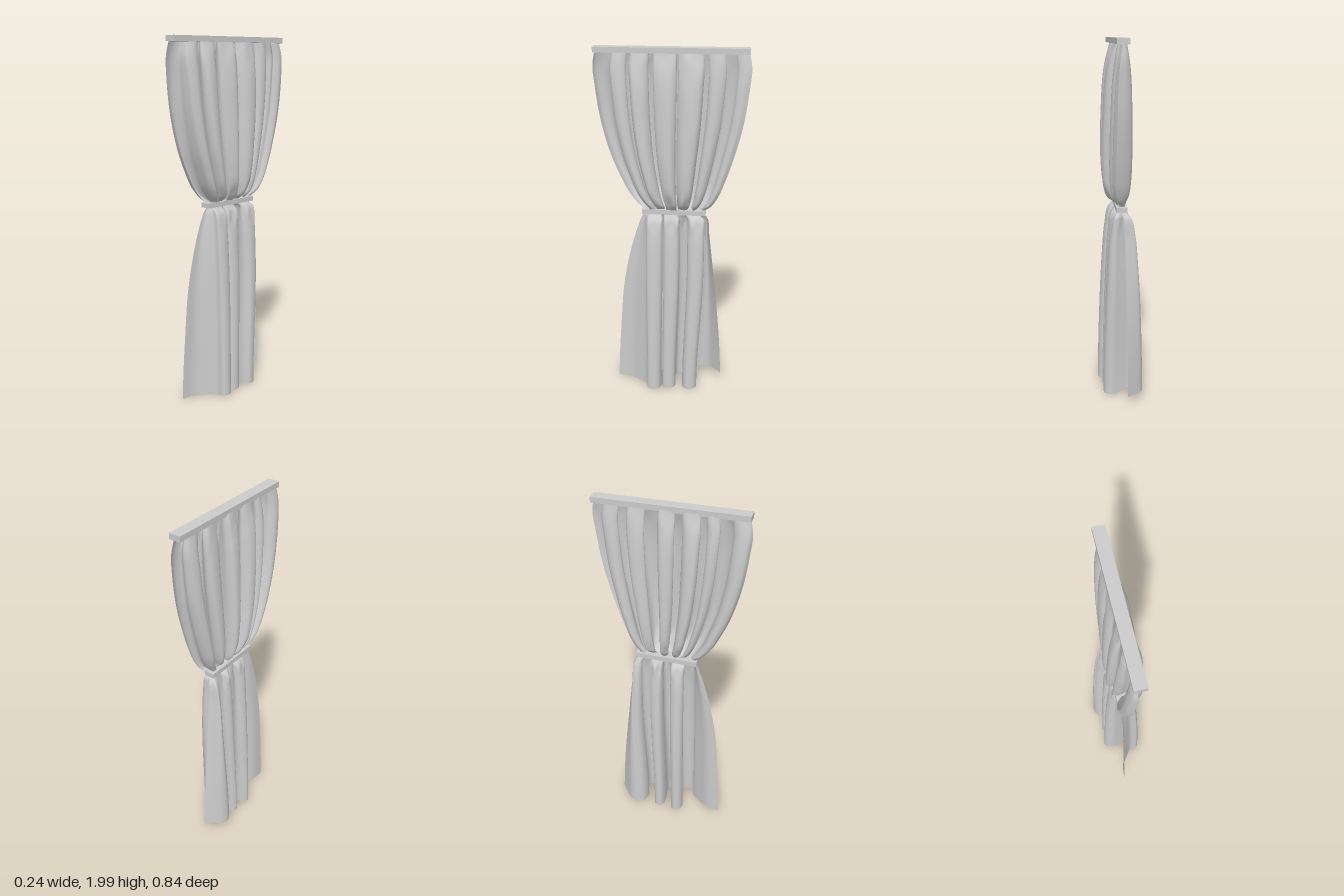
import * as THREE from 'three';

// Rows from hem to rail: height, z of the two side edges, fold depth
const ROWS = [
  [0.00, 0.325, -0.295, 1.00], [0.20, 0.315, -0.285, 0.97], [0.40, 0.30, -0.27, 0.92],
  [0.60, 0.283, -0.25, 0.85], [0.80, 0.247, -0.23, 0.75], [0.95, 0.207, -0.214, 0.64],
  [1.05, 0.172, -0.205, 0.47], [1.10, 0.15, -0.18, 0.22], [1.14, 0.19, -0.222, 0.58],
  [1.20, 0.237, -0.26, 0.86], [1.30, 0.288, -0.30, 0.98], [1.40, 0.33, -0.333, 1.00],
  [1.60, 0.385, -0.385, 0.94], [1.80, 0.413, -0.413, 0.79], [1.90, 0.42, -0.42, 0.60],
  [1.98, 0.405, -0.405, 0.36],
];

// Fold lines seen from above, as z, x
const LOWER = [
  [0.325, -0.025], [0.25, -0.015], [0.19, 0.02], [0.14, 0.06], [0.13, 0.105], [0.10, 0.117],
  [0.065, 0.10], [0.055, 0.06], [0.08, 0], [0.095, -0.05], [0.085, -0.085], [0.06, -0.10],
  [0.035, -0.085], [0.025, -0.05], [0.04, 0], [0.05, 0.05], [0.04, 0.085], [0.01, 0.095],
  [-0.02, 0.08], [-0.03, 0.04], [-0.02, 0], [-0.02, -0.05], [-0.03, -0.08], [-0.05, -0.09],
  [-0.075, -0.075], [-0.08, -0.04], [-0.07, 0.02], [-0.075, 0.07], [-0.10, 0.095],
  [-0.14, 0.085], [-0.155, 0.05], [-0.14, 0], [-0.125, -0.05], [-0.14, -0.10],
  [-0.18, -0.12], [-0.22, -0.11], [-0.26, -0.07], [-0.295, -0.03],
];
const UPPER = [
  [0.42, -0.01], [0.405, -0.045], [0.365, -0.057], [0.33, -0.03], [0.325, 0.015],
  [0.315, 0.055], [0.275, 0.072], [0.24, 0.05], [0.25, 0], [0.26, -0.04], [0.23, -0.065],
  [0.20, -0.045], [0.205, 0], [0.22, 0.055], [0.20, 0.09], [0.15, 0.085], [0.12, 0.05],
  [0.13, 0], [0.165, -0.045], [0.15, -0.078], [0.10, -0.075], [0.07, -0.03], [0.09, 0.02],
  [0.09, 0.06], [0.05, 0.085], [0, 0.09], [-0.03, 0.06], [-0.02, 0.01], [0.03, -0.04],
  [0.01, -0.07], [-0.04, -0.07], [-0.06, -0.03], [-0.05, 0.02], [-0.04, 0.06], [-0.07, 0.09],
  [-0.11, 0.10], [-0.16, 0.085], [-0.175, 0.04], [-0.15, 0], [-0.13, -0.04], [-0.16, -0.06],
  [-0.21, -0.055], [-0.225, -0.02], [-0.20, 0.03], [-0.22, 0.06], [-0.26, 0.06],
  [-0.29, 0.03], [-0.27, -0.02], [-0.30, -0.05], [-0.34, -0.04], [-0.36, 0],
  [-0.35, 0.035], [-0.385, 0.055], [-0.42, 0.04],
];

const { lerp, smoothstep, mapLinear } = THREE.MathUtils;

const foldPoints = (line, count) => new THREE.CatmullRomCurve3(
  line.map(([z, x]) => new THREE.Vector3(x, 0, z)), false, 'centripetal').getPoints(count);

// Below the tie the middle folds hang straight and only the end panels spread
function hangingZ(z, y, left, right) {
  const front = Math.min(0.13, left - 0.025);
  const back = Math.max(lerp(-0.155, -0.188, smoothstep(y, 0, 0.8)), right + 0.012);
  if (z > 0.13) return mapLinear(z, 0.13, 0.325, front, left);
  if (z < -0.155) return mapLinear(z, -0.155, -0.295, back, right);
  return mapLinear(z, -0.155, 0.13, back, front);
}

// Smooth bump centred on a height
const bump = (y, centre, width) => Math.exp(-(((y - centre) / width) ** 2));

function curtainGeometry(cols = 340, rows = 180) {
  const profile = new THREE.CubicInterpolant(
    ROWS.map((r) => r[0]), ROWS.flatMap((r) => r.slice(1)), 3);
  const lower = foldPoints(LOWER, cols);
  const upper = foldPoints(UPPER, cols);
  const geometry = new THREE.PlaneGeometry(1, 1, cols, rows);
  const position = geometry.attributes.position;

  for (let j = 0; j <= rows; j++) {
    const y = 1.98 * (1 - j / rows);
    const [left, right, depth] = profile.evaluate(y);
    const blend = smoothstep(y, 1.06, 1.14);
    const hang = Math.max(0, 1 - y);
    // Fine puckers beside the tie and under the rail
    const pucker = 0.008 * (bump(y, 1.16, 0.04) + bump(y, 1.03, 0.04))
      + 0.005 * bump(y, 1.94, 0.05);
    for (let i = 0; i <= cols; i++) {
      const u = i / cols;
      const x = lerp(lower[i].x, upper[i].x, blend) * depth
        + pucker * Math.sin(Math.PI * u) * Math.sin(u * 110 + 2 * Math.sin(u * 9));
      const z = lerp(hangingZ(lower[i].z, y, left, right),
        mapLinear(upper[i].z, -0.42, 0.42, right, left), blend);
      // The last panel of the hem hangs a little shorter
      const lift = 0.006 + 0.03 * smoothstep(u, 0.81, 0.88) + 0.018 * smoothstep(u, 0.86, 1);
      position.setXYZ(j * (cols + 1) + i, x, y + lift * hang, z);
    }
  }
  geometry.computeVertexNormals();
  return geometry;
}

export function createModel() {
  const group = new THREE.Group();
  const add = (name, geometry, x = 0, y = 0, z = 0, options = {}) => {
    const mesh = new THREE.Mesh(
      geometry, new THREE.MeshStandardMaterial({ color: 0xcccccc, ...options }));
    mesh.name = name;
    mesh.position.set(x, y, z);
    group.add(mesh);
  };

  // Gathered cloth
  add('curtain', curtainGeometry(), 0, 0, 0, { side: THREE.DoubleSide });
  // Rail along the top
  add('rail', new THREE.BoxGeometry(0.065, 0.03, 0.82), 0.008, 1.985, 0);
  // Band that gathers the cloth
  add('tieBand', new THREE.BoxGeometry(0.06, 0.027, 0.35), -0.004, 1.098, -0.014);
  return group;
}
